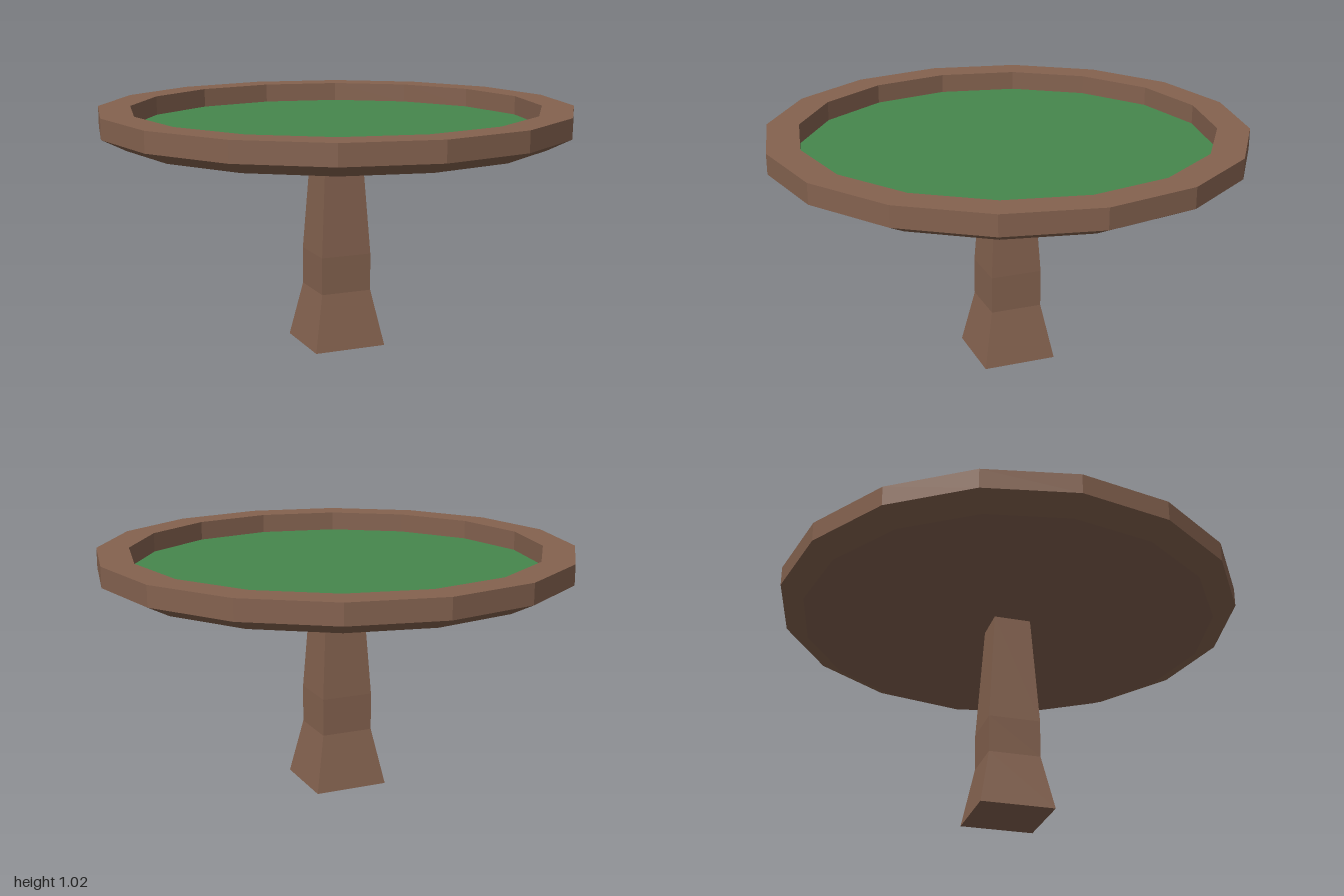
import * as THREE from 'three';

const wood = new THREE.MeshStandardMaterial({ color: 0x84624f, flatShading: true });
const felt = new THREE.MeshStandardMaterial({ color: 0x46874c, flatShading: true });

// Faceted solid of revolution from [radius, height] pairs, listed upwards on the outside
function turned(name, profile, sides, material) {
  const points = profile.map(([r, y]) => new THREE.Vector2(r, y));
  const mesh = new THREE.Mesh(new THREE.LatheGeometry(points, sides), material);
  mesh.name = name;
  return mesh;
}

export function createModel() {
  const table = new THREE.Group();
  table.name = 'roundTable';

  // Table top: chamfered underside, outer wall, raised rim and its inner wall
  const top = turned('tableTop', [
    [0, 0.89], [0.9, 0.89], [1, 0.94], [1, 1.025], [0.865, 1.025], [0.865, 0.943],
  ], 16, wood);

  // Recessed playing surface
  const surface = new THREE.Mesh(new THREE.CircleGeometry(0.865, 16), felt);
  surface.name = 'feltSurface';
  surface.rotation.x = -Math.PI / 2;
  surface.position.y = 0.943;

  // Square pedestal with flared foot; half widths become corner radii
  const halfWidths = [[0, 0], [0.158, 0], [0.111, 0.24], [0.111, 0.4], [0.08, 0.89]];
  const pedestal = turned('pedestal', halfWidths.map(([w, y]) => [w * Math.SQRT2, y]), 4, wood);
  pedestal.rotation.y = Math.PI / 4;

  table.add(top, surface, pedestal);
  return table;
}
